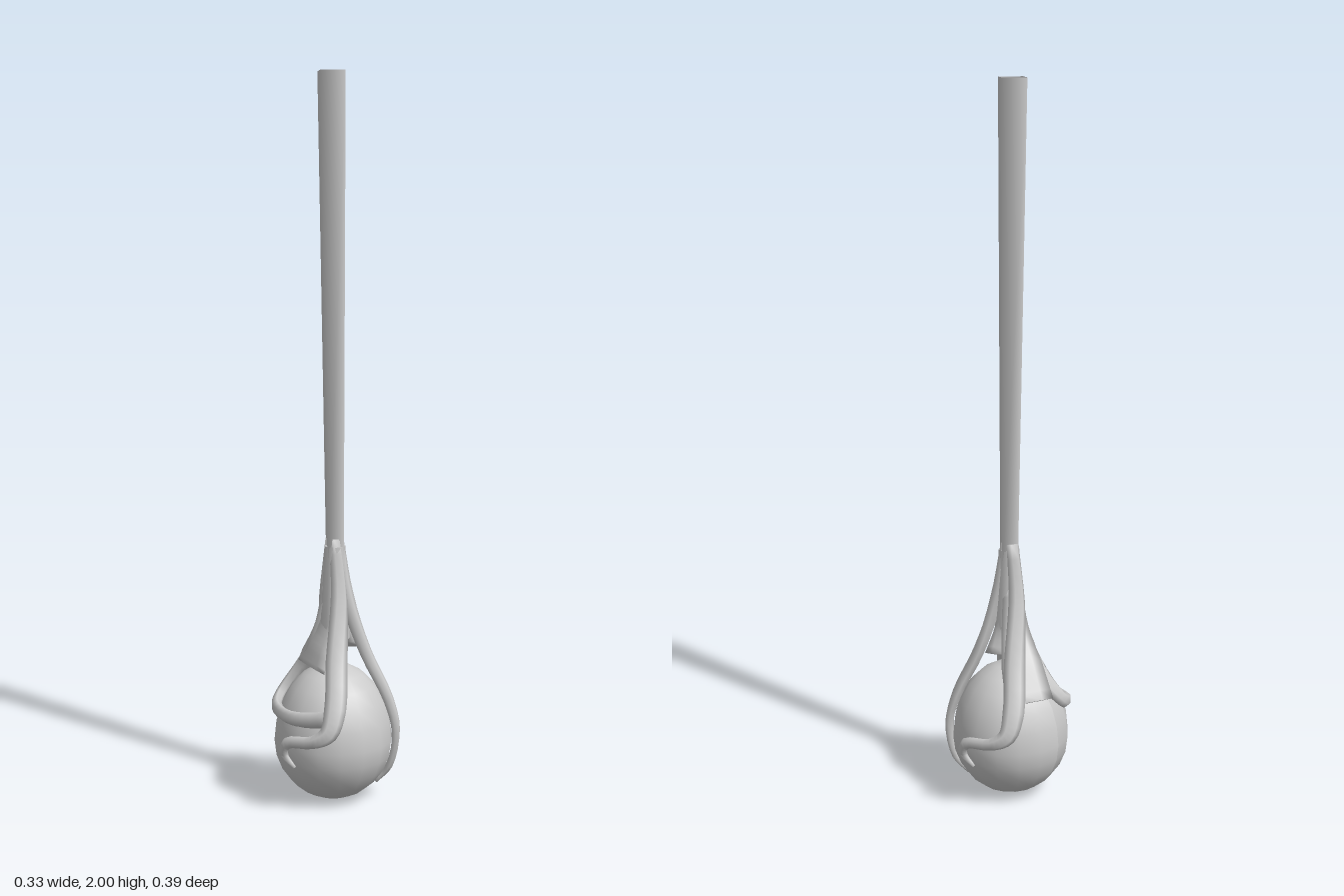
import * as THREE from 'three';

const material = new THREE.MeshStandardMaterial({ color: 0xcccccc, side: THREE.DoubleSide });

// Sweeps a flattened six-sided section along points of [x, y, z, width, thickness];
// the flat side always faces away from the vertical axis.
function strand(name, rows, perSpan = 4) {
  const curve = new THREE.CatmullRomCurve3(rows.map(r => new THREE.Vector3(r[0], r[1], r[2])));
  const steps = (rows.length - 1) * perSpan, sides = 6;
  const positions = [], index = [];
  for (let i = 0; i <= steps; i++) {
    const t = i / steps;
    const k = Math.min(Math.floor(i / perSpan), rows.length - 2), f = i / perSpan - k;
    const width = THREE.MathUtils.lerp(rows[k][3], rows[k + 1][3], f) / 2;
    const thick = THREE.MathUtils.lerp(rows[k][4], rows[k + 1][4], f) / 2;
    const p = curve.getPoint(t), tangent = curve.getTangent(t);
    const out = new THREE.Vector3(p.x, 0, p.z).normalize();
    out.addScaledVector(tangent, -out.dot(tangent)).normalize();
    const side = new THREE.Vector3().crossVectors(out, tangent);
    for (let j = 0; j < sides; j++) {
      const a = (j / sides) * Math.PI * 2;
      const q = p.clone().addScaledVector(side, Math.cos(a) * width).addScaledVector(out, Math.sin(a) * thick);
      positions.push(q.x, q.y, q.z);
      if (i < steps) {
        const a0 = i * sides + j, b0 = i * sides + (j + 1) % sides;
        index.push(a0, b0, a0 + sides, b0, b0 + sides, a0 + sides);
      }
    }
  }
  // End caps
  for (let j = 1; j < sides - 1; j++) {
    const e = steps * sides;
    index.push(0, j + 1, j, e, e + j, e + j + 1);
  }
  const geometry = new THREE.BufferGeometry();
  geometry.setAttribute('position', new THREE.Float32BufferAttribute(positions, 3));
  geometry.setIndex(index);
  geometry.computeVertexNormals();
  const mesh = new THREE.Mesh(geometry, material);
  mesh.name = name;
  return mesh;
}

export function createModel() {
  const group = new THREE.Group();
  const add = (name, geometry) => {
    const mesh = new THREE.Mesh(geometry, material);
    mesh.name = name;
    group.add(mesh);
  };

  // Egg-shaped orb, taller above its widest ring
  const orb = new THREE.SphereGeometry(0.165, 16, 12);
  const op = orb.attributes.position;
  for (let i = 0; i < op.count; i++) {
    const y = op.getY(i) / 0.165;
    op.setY(i, 0.175 + y * (y > 0 ? 0.215 : 0.17));
  }
  orb.computeVertexNormals();
  add('orb', orb);

  // Square, slightly leaning shaft, open at the top
  const shaft = new THREE.CylinderGeometry(0.047, 0.03, 1.34, 4, 1, true);
  const sp = shaft.attributes.position;
  for (let i = 0; i < sp.count; i++) sp.setX(i, sp.getX(i) + (sp.getY(i) > 0 ? -0.006 : 0.006));
  shaft.translate(0, 1.33, 0);
  add('shaft', shaft);

  // Solid core where the shaft splits into talons
  const core = new THREE.CylinderGeometry(0.029, 0.042, 0.26, 8);
  core.translate(0.006, 0.59, 0);
  add('shaftBase', core);

  // Straight talon gripping far down the back left
  group.add(strand('straightTalon', [
    [0.012, 0.74, -0.008, 0.035, 0.03], [0.035, 0.58, -0.015, 0.05, 0.04],
    [0.075, 0.42, -0.05, 0.055, 0.035], [0.128, 0.29, -0.083, 0.06, 0.03],
    [0.148, 0.2, -0.093, 0.055, 0.025], [0.133, 0.1, -0.085, 0.04, 0.02],
    [0.1, 0.05, -0.065, 0.01, 0.01],
  ]));

  // Two hooked talons, one turned half round from the other
  const hook = [
    [0.012, 0.74, 0.008, 0.035, 0.03], [0.035, 0.58, 0.02, 0.05, 0.04],
    [0.068, 0.42, 0.075, 0.06, 0.035], [0.1, 0.3, 0.125, 0.06, 0.03],
    [0.098, 0.24, 0.153, 0.05, 0.028], [0.06, 0.215, 0.175, 0.035, 0.026],
    [-0.02, 0.2, 0.182, 0.032, 0.024], [-0.036, 0.165, 0.176, 0.028, 0.022],
    [-0.005, 0.13, 0.168, 0.008, 0.01],
  ];
  group.add(strand('frontHookedTalon', hook));
  group.add(strand('backHookedTalon', hook.map(([x, y, z, w, t]) => [-x, y, -z, w, t])));

  // Root that runs over the right side and wraps across the front
  group.add(strand('wrappingBand', [
    [-0.008, 0.72, 0.002, 0.03, 0.02], [-0.015, 0.58, 0.002, 0.05, 0.03],
    [-0.055, 0.45, 0.002, 0.07, 0.03], [-0.108, 0.365, 0.005, 0.06, 0.03],
    [-0.14, 0.295, 0.05, 0.045, 0.03], [-0.115, 0.27, 0.108, 0.04, 0.03],
    [-0.03, 0.262, 0.152, 0.04, 0.028], [0.06, 0.27, 0.145, 0.045, 0.028],
    [0.1, 0.285, 0.128, 0.04, 0.025],
  ]));

  // Webs filling the forks above the orb
  group.add(strand('frontWeb', [
    [-0.004, 0.62, 0.008, 0.05, 0.03], [-0.006, 0.5, 0.02, 0.08, 0.03],
    [-0.02, 0.43, 0.045, 0.13, 0.025], [-0.03, 0.385, 0.062, 0.16, 0.015],
  ]));
  group.add(strand('sideWeb', [
    [-0.01, 0.62, -0.008, 0.05, 0.03], [-0.03, 0.5, -0.02, 0.08, 0.03],
    [-0.075, 0.41, -0.05, 0.12, 0.025], [-0.12, 0.32, -0.075, 0.14, 0.02],
  ]));
  group.add(strand('backWeb', [
    [0, 0.62, -0.01, 0.05, 0.03], [0, 0.5, -0.025, 0.07, 0.03],
    [-0.01, 0.43, -0.06, 0.1, 0.02],
  ]));
  return group;
}
